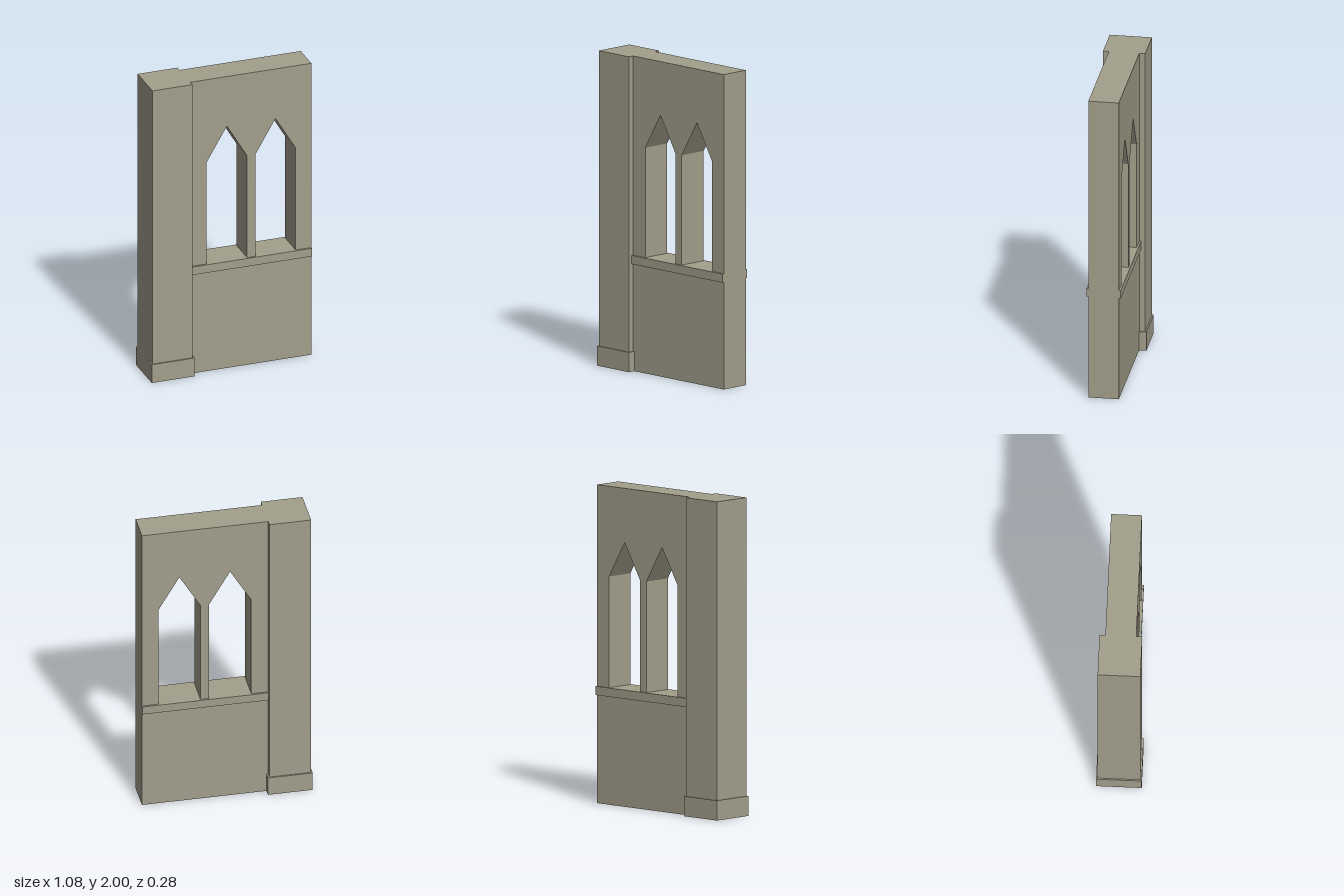
import * as THREE from 'three';

export function createModel() {
  const model = new THREE.Group();
  model.name = 'windowWall';
  const stone = new THREE.MeshStandardMaterial({ color: 0xa39f8c });
  stone.name = 'stone';

  const add = (name, geometry) => {
    const mesh = new THREE.Mesh(geometry, stone);
    mesh.name = name;
    model.add(mesh);
  };
  // Box given by its limits on each axis
  const box = (name, x0, x1, y0, y1, z0, z1) =>
    add(name, new THREE.BoxGeometry(x1 - x0, y1 - y0, z1 - z0)
      .translate((x0 + x1) / 2, (y0 + y1) / 2, (z0 + z1) / 2));
  const outline = (points) => points.map(([x, y]) => new THREE.Vector2(x, y));

  const wallZ = 0.096, sillZ = 0.108, joinX = -0.265, endX = 0.537;
  const sillTop = 0.735, springY = 1.433, apexY = 1.66;

  // Wall panel with two pointed window openings
  const wall = new THREE.Shape(outline([[joinX, 0], [endX, 0], [endX, 2], [joinX, 2]]));
  for (const cx of [-0.023, 0.299]) {
    const l = cx - 0.134, r = cx + 0.134;
    wall.holes.push(new THREE.Path(outline(
      [[l, sillTop], [l, springY], [cx, apexY], [r, springY], [r, sillTop]])));
  }
  add('wall', new THREE.ExtrudeGeometry(wall, { depth: 2 * wallZ, bevelEnabled: false })
    .translate(0, 0, -wallZ));

  // Sill strips on both faces
  box('frontSill', joinX, endX, 0.68, sillTop, wallZ, sillZ);
  box('backSill', joinX, endX, 0.68, sillTop, -sillZ, -wallZ);

  // Pillar and its plinth
  box('pillar', -0.53, joinX, 0.125, 2, -0.133, 0.133);
  box('plinth', -0.538, -0.254, 0, 0.125, -0.142, 0.142);

  return model;
}
